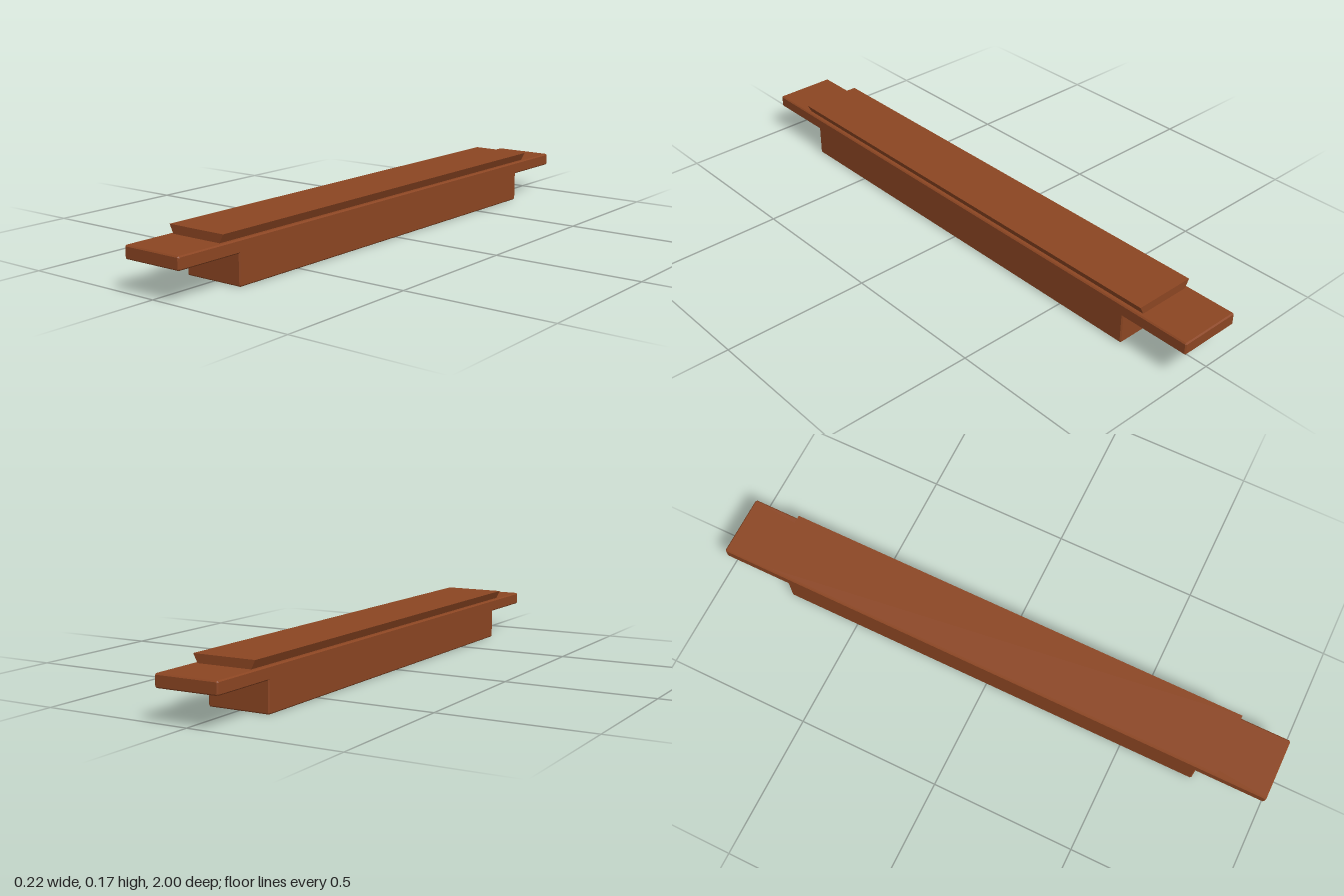
import * as THREE from 'three';

// Extrudes a closed outline of [a, b] points, centred along its depth
function prism(points, depth, bevel) {
  const shape = new THREE.Shape(points.map(([a, b]) => new THREE.Vector2(a, b)));
  const geo = new THREE.ExtrudeGeometry(shape, {
    depth: depth - 2 * bevel,
    bevelEnabled: bevel > 0,
    bevelThickness: bevel,
    bevelSize: bevel,
    bevelOffset: -bevel,
    bevelSegments: 1,
  });
  return geo.translate(0, 0, -depth / 2 + bevel);
}

// Mirrors a half outline, listed from bottom to top, across the vertical axis
const mirrored = (half) => [...half, ...half.map(([a, b]) => [-a, b]).reverse()];

export function createModel() {
  const group = new THREE.Group();
  const brown = new THREE.MeshStandardMaterial({ color: 0x8b4522 });

  // Beam with a thin tongue at each end and chamfered edges
  const c = 0.004;
  const beamSide = mirrored([
    [0.76 - c, 0], [0.76, c], [0.76, 0.1],
    [1 - c, 0.1], [1, 0.1 + c], [1, 0.142 - c], [1 - c, 0.142],
  ]);
  const beam = new THREE.Mesh(prism(beamSide, 0.216, c).rotateY(Math.PI / 2), brown);
  beam.name = 'tenonedBeam';
  group.add(beam);

  // Dovetail rail that widens toward the top
  const railEnd = mirrored([[0.093, 0.141], [0.108, 0.17]]);
  const rail = new THREE.Mesh(prism(railEnd, 1.65, 0), brown);
  rail.name = 'dovetailRail';
  group.add(rail);

  return group;
}
